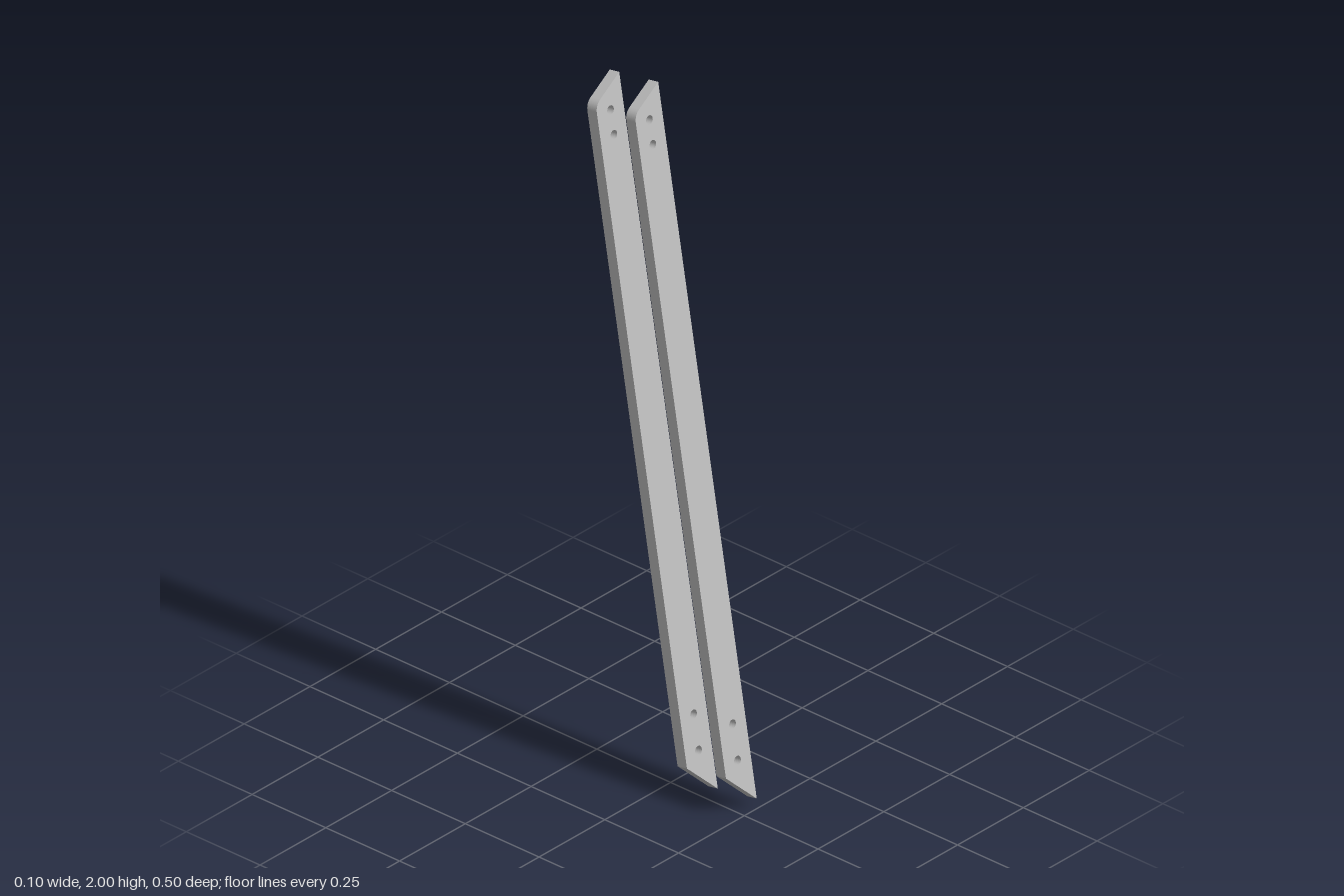
import * as THREE from 'three';

export function createModel() {
  const model = new THREE.Group();
  model.name = 'slantedPlankPair';
  const grey = new THREE.MeshStandardMaterial({ color: 0xc0c0c0 });
  grey.name = 'plain grey';

  const half = 0.0495, length = 2, thickness = 0.0325;

  // Plank outline: mitred foot, sloped top with one rounded corner
  const outline = new THREE.Shape();
  outline.moveTo(half, 0);
  outline.lineTo(half, length);
  outline.lineTo(-half + 0.019, length - 0.043);
  outline.quadraticCurveTo(-half, length - 0.053, -half, length - 0.075);
  outline.lineTo(-half, 0.097);
  outline.closePath();

  // Bolt holes, two at each end
  for (const v of [0.127, 0.228, 1.845, 1.914]) {
    const hole = new THREE.Path();
    hole.absarc(0, v, 0.0125, 0, Math.PI * 2, true);
    outline.holes.push(hole);
  }

  const geometry = new THREE.ExtrudeGeometry(outline, {
    depth: thickness, bevelEnabled: false, curveSegments: 16,
  });
  geometry.translate(0, 0, -thickness);

  // Two parallel planks, set apart square to their faces
  const planks = new THREE.Group();
  planks.name = 'leaningPlanks';
  [['frontPlank', 0], ['backPlank', -0.134]].forEach(([name, offset]) => {
    const plank = new THREE.Mesh(geometry, grey);
    plank.name = name;
    plank.position.z = offset;
    planks.add(plank);
  });

  // Lean backwards, feet forward
  planks.rotation.x = -THREE.MathUtils.degToRad(9.62);
  planks.position.set(0, 0.028, 0.248);
  model.add(planks);
  return model;
}
